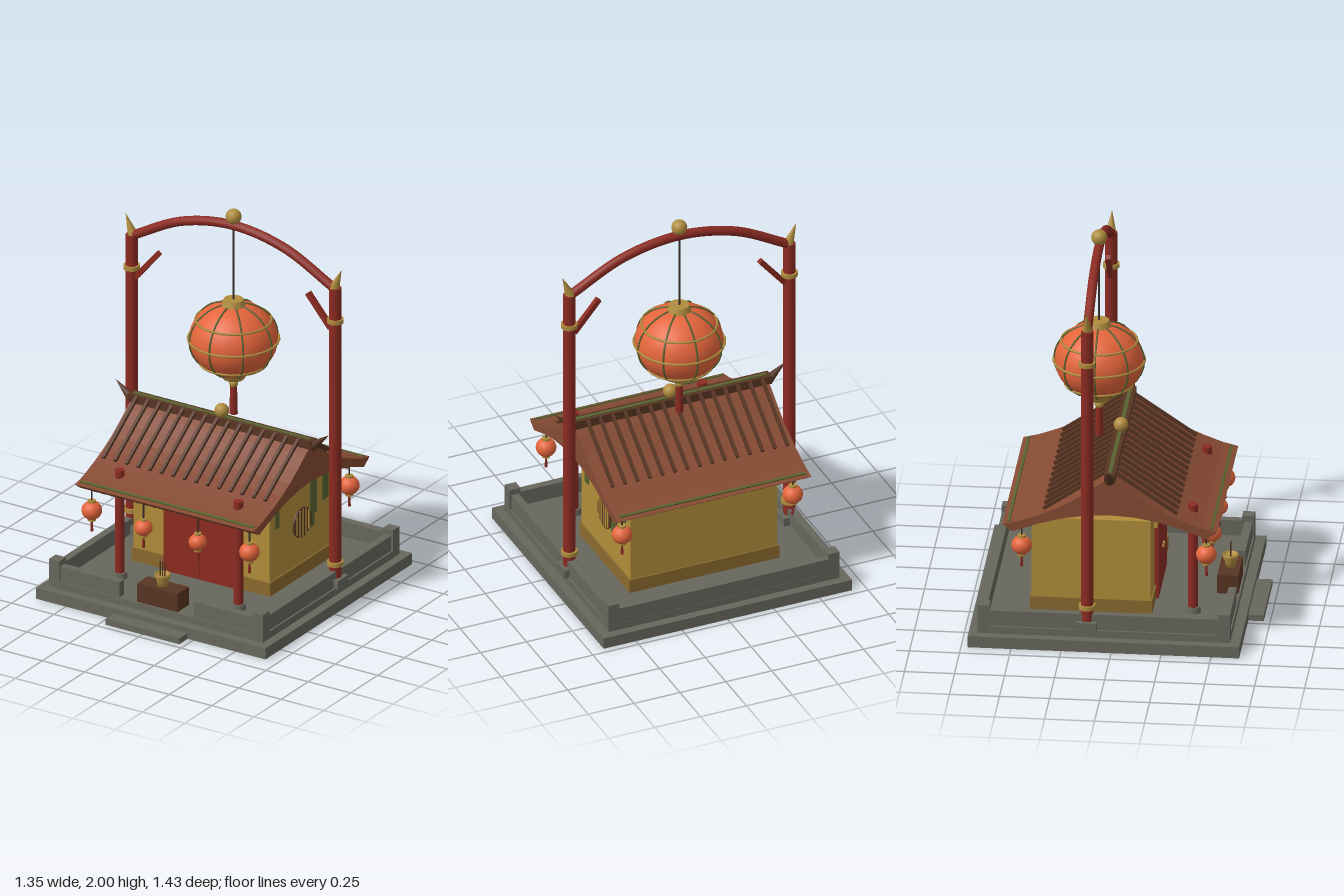
import * as THREE from 'three';

const paint = (name, color) => Object.assign(new THREE.MeshStandardMaterial({ color }), { name });
const stone = paint('stone grey', 0x68675d);
const red = paint('lacquer red', 0x8c2b22);
const orange = paint('lantern orange', 0xe4653b);
const gold = paint('gold', 0xb08d3e);
const plaster = paint('ochre plaster', 0xb28d3a);
const plinthMat = paint('dark ochre', 0x8a6a2e);
const roofMat = paint('roof tile', 0x854a33);
const wood = paint('dark wood', 0x583523);
const green = paint('moss green', 0x59622f);
const dark = paint('cord', 0x38302a);

const box = (w, h, d) => new THREE.BoxGeometry(w, h, d);
const cyl = (rt, rb, h, n = 16) => new THREE.CylinderGeometry(rt, rb, h, n);
const ball = (r) => new THREE.SphereGeometry(r, 16, 12);

function add(parent, name, geo, mat, x = 0, y = 0, z = 0) {
  const m = new THREE.Mesh(geo, mat);
  m.name = name;
  m.position.set(x, y, z);
  parent.add(m);
  return m;
}

function group(parent, name) {
  const g = new THREE.Group();
  g.name = name;
  parent.add(g);
  return g;
}

// Box given by its minimum and maximum corners
function span(parent, name, mat, x0, x1, y0, y1, z0, z1) {
  return add(parent, name, box(x1 - x0, y1 - y0, z1 - z0), mat, (x0 + x1) / 2, (y0 + y1) / 2, (z0 + z1) / 2);
}

function buildTerrace(root) {
  const g = group(root, 'terrace');
  span(g, 'baseSlab', stone, -0.677, 0.677, 0, 0.06, -0.717, 0.64);
  span(g, 'frontStep', stone, -0.218, 0.218, 0, 0.032, 0.64, 0.717);
  span(g, 'floor', stone, -0.63, 0.63, 0.06, 0.098, -0.672, 0.59);
  span(g, 'backWall', stone, -0.6, 0.6, 0.09, 0.18, -0.67, -0.63);
  for (const s of [-1, 1]) {
    add(g, 'sideWall', box(0.04, 0.09, 1.2), stone, s * 0.6, 0.135, -0.04);
    add(g, 'frontWall', box(0.37, 0.09, 0.04), stone, s * 0.405, 0.135, 0.562);
    for (const z of [-0.642, 0.56]) add(g, 'cornerPost', box(0.06, 0.118, 0.06), stone, s * 0.6, 0.152, z);
  }
}

function buildHall(root) {
  const g = group(root, 'hall');
  span(g, 'walls', plaster, -0.4, 0.4, 0.098, 0.6, -0.425, 0.17);
  span(g, 'plinth', plinthMat, -0.408, 0.408, 0.098, 0.17, -0.433, 0.178);
  span(g, 'doorFrame', plaster, -0.23, 0.23, 0.49, 0.565, 0.16, 0.188);
  for (const s of [-1, 1]) {
    add(g, 'doorLeaf', box(0.21, 0.402, 0.024), red, s * 0.1065, 0.299, 0.179);
    add(g, 'doorHandle', ball(0.01), gold, s * 0.02, 0.3, 0.193);
    add(g, 'porchColumn', cyl(0.025, 0.025, 0.587), red, s * 0.35, 0.3915, 0.377);
    add(g, 'columnFoot', cyl(0.035, 0.04, 0.03), stone, s * 0.35, 0.113, 0.377);
  }
  // Round barred window and moss streaks on the left wall
  add(g, 'roundWindow', cyl(0.08, 0.08, 0.016, 24).rotateZ(Math.PI / 2), wood, 0.402, 0.39, -0.125);
  for (let i = -2; i <= 2; i++) {
    const h = 2 * Math.sqrt(0.075 ** 2 - (i * 0.027) ** 2);
    add(g, 'windowBar', box(0.006, h, 0.009), plaster, 0.411, 0.39, -0.125 + i * 0.027);
  }
  for (const [z, w, y0] of [[0.1, 0.038, 0.44], [-0.235, 0.06, 0.395], [-0.222, 0.038, 0.33], [-0.343, 0.055, 0.435]])
    span(g, 'mossStreak', green, 0.399, 0.405, y0, 0.6, z - w / 2, z + w / 2);
}

function buildRoof(root) {
  const g = group(root, 'roof');
  g.position.z = -0.022;
  // Swept cross-section: concave slopes above, shallow arch below
  const top = [[0.537, 0.612], [0.46, 0.631], [0.36, 0.668], [0.27, 0.708], [0.2, 0.746], [0.13, 0.793], [0.06, 0.845]];
  const under = [[0.485, 0.575], [0.36, 0.622], [0.24, 0.656], [0.12, 0.677]];
  const mirror = (a) => a.map(([d, y]) => [-d, y]).reverse();
  const outline = [...top, [0, 0.885], ...mirror(top), ...mirror(under).reverse(), [0, 0.684], ...[...under].reverse()];
  const shape = new THREE.Shape(outline.map(([d, y]) => new THREE.Vector2(d, y)));
  const geo = new THREE.ExtrudeGeometry(shape, { depth: 1.054, bevelEnabled: false });
  geo.translate(0, 0, -0.527).rotateY(Math.PI / 2);
  add(g, 'tileRoof', geo, roofMat);

  add(g, 'ridge', box(1.08, 0.045, 0.056), wood, 0, 0.888, 0);
  add(g, 'ridgeMoss', box(1.04, 0.005, 0.02), green, 0, 0.9115, 0);
  add(g, 'ridgeBall', ball(0.037), gold, 0, 0.943, 0.004);
  const slope = Math.atan2(0.215, 0.315);
  for (const s of [-1, 1]) {
    const horn = add(g, 'ridgeHorn', new THREE.ConeGeometry(0.027, 0.13, 8), wood, s * 0.58, 0.917, 0);
    horn.rotation.z = -s * 0.87;
    for (let i = 0; i < 15; i++) {
      const rib = add(g, 'tileRib', box(0.016, 0.016, 0.382), wood, -0.488 + i * 0.068, 0.798, s * 0.177);
      rib.rotation.x = s * slope;
    }
    const strip = add(g, 'eaveStrip', box(1.02, 0.008, 0.014), green, 0, 0.622, s * 0.507);
    strip.rotation.x = s * 0.25;
    for (let i = 0; i < 19; i++) add(g, 'rafterEnd', box(0.018, 0.03, 0.03), wood, -0.45 + i * 0.05, 0.58, s * 0.455);
  }
}

function buildSmallLantern(root, x, y, z, r) {
  const g = group(root, 'smallLantern');
  g.position.set(x, y, z);
  add(g, 'lanternBody', ball(r).scale(1, 0.94, 1), orange);
  for (const s of [-1, 1]) add(g, 'lanternCap', cyl(r * 0.4, r * 0.4, 0.012), gold, 0, s * r * 0.95, 0);
  const top = 0.605 - y;
  add(g, 'lanternCord', cyl(0.004, 0.004, top - r * 0.9, 6), dark, 0, (top + r * 0.9) / 2, 0);
  add(g, 'lanternTassel', cyl(0.005, 0.008, 0.065, 8), red, 0, -r - 0.03, 0);
}

function buildAltar(root) {
  const g = group(root, 'altar');
  span(g, 'altarTable', wood, -0.12, 0.12, 0.098, 0.197, 0.475, 0.58);
  const bowl = [[0, 0.195], [0.027, 0.195], [0.03, 0.225], [0.041, 0.25], [0.041, 0.262], [0.034, 0.262], [0.03, 0.248], [0, 0.248]];
  add(g, 'incenseBowl', new THREE.LatheGeometry(bowl.map(([r, y]) => new THREE.Vector2(r, y)), 16), gold, 0, 0, 0.53);
  for (const i of [-1, 0, 1]) add(g, 'incenseStick', cyl(0.003, 0.003, 0.085, 6), wood, i * 0.013, 0.285, 0.53);
}

function buildGate(root) {
  const g = group(root, 'archGate');
  g.position.z = -0.127;
  for (const s of [-1, 1]) {
    add(g, 'gatePillar', cyl(0.031, 0.031, 1.62), red, s * 0.6, 0.908, 0);
    add(g, 'pillarFoot', box(0.1, 0.045, 0.1), stone, s * 0.597, 0.12, 0);
    for (const y of [0.216, 1.54]) add(g, 'pillarBand', cyl(0.042, 0.042, 0.022), gold, s * 0.6, y, 0);
    const spike = add(g, 'pillarSpike', new THREE.ConeGeometry(0.028, 0.12, 10), gold, s * 0.615, 1.768, 0);
    spike.rotation.z = -s * 0.38;
    const brace = add(g, 'pillarBrace', box(0.026, 0.21, 0.026), red, s * 0.507, 1.572, 0);
    brace.rotation.z = s * 0.7;
  }
  const points = [-0.6, -0.3, 0, 0.3, 0.6].map((x) => new THREE.Vector3(x, 1.912 - 0.56 * x * x, 0));
  add(g, 'arch', new THREE.TubeGeometry(new THREE.CatmullRomCurve3(points), 40, 0.024, 12), red);
  add(g, 'archBall', ball(0.04), gold, 0, 1.96, 0);
  add(g, 'hangingCord', cyl(0.005, 0.005, 0.42, 6), dark, 0, 1.7, 0);

  // Large hanging lantern
  const l = group(g, 'largeLantern');
  l.position.y = 1.295;
  add(l, 'lanternBody', new THREE.SphereGeometry(0.222, 32, 20).scale(1, 0.86, 1), orange);
  for (let i = 0; i < 4; i++) {
    const hoop = new THREE.TorusGeometry(0.225, 0.005, 6, 32).scale(1, 0.86, 1).rotateY(i * Math.PI / 4);
    add(l, 'lanternRib', hoop, green);
  }
  for (const [y, r] of [[0.105, 0.19], [0, 0.228], [-0.125, 0.172]])
    add(l, 'lanternHoop', new THREE.TorusGeometry(r, 0.006, 6, 24).rotateX(Math.PI / 2), gold, 0, y, 0);
  add(l, 'topCap', cyl(0.05, 0.066, 0.045), gold, 0, 0.192, 0);
  add(l, 'bottomCap', cyl(0.078, 0.055, 0.04), gold, 0, -0.196, 0);
  add(l, 'tasselBead', ball(0.023), gold, 0, -0.245, 0);
  add(l, 'tassel', cyl(0.017, 0.021, 0.17, 12), red, 0, -0.325, 0);
}

export function createModel() {
  const root = new THREE.Group();
  root.name = 'lanternShrine';
  buildTerrace(root);
  buildHall(root);
  buildRoof(root);
  buildAltar(root);
  buildGate(root);
  for (const s of [-1, 1]) {
    buildSmallLantern(root, s * 0.465, 0.465, 0.455, 0.052);
    buildSmallLantern(root, s * 0.16, 0.445, 0.455, 0.046);
    buildSmallLantern(root, s * 0.465, 0.475, -0.468, 0.052);
  }
  return root;
}
